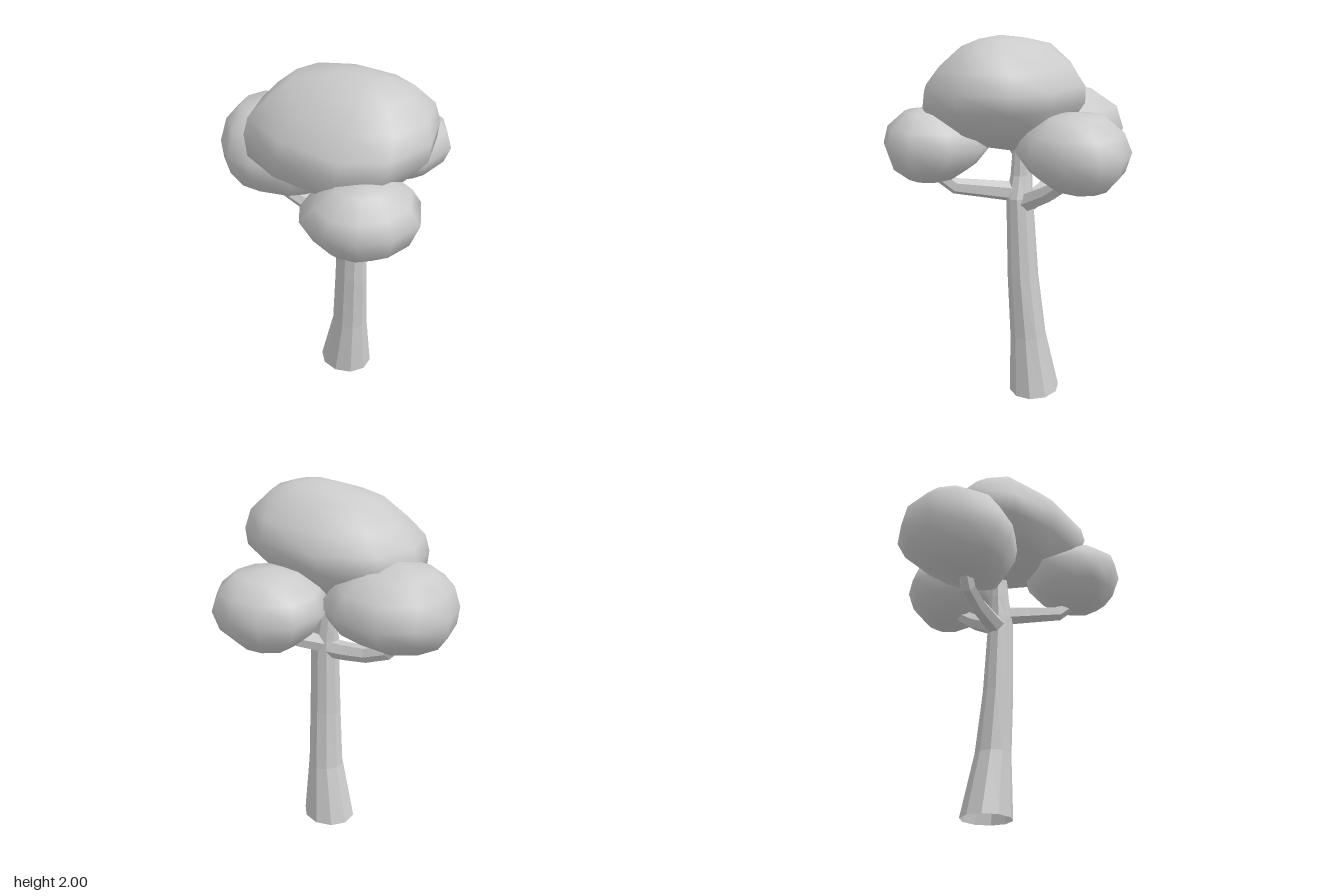
import * as THREE from 'three';

const smooth = new THREE.MeshStandardMaterial({ color: 0xcccccc });
const faceted = new THREE.MeshStandardMaterial({ color: 0xcccccc, flatShading: true, side: THREE.DoubleSide });

// Skin a unit outline through rings [y, xMin, xMax, zMin, zMax], listed top to bottom.
// Optional poles [x, y, z] close the two ends.
function loft(outline, rings, top, bottom) {
  const n = outline.length, pos = [], index = [];
  for (const [y, x0, x1, z0, z1] of rings) {
    for (const [u, v] of outline) {
      pos.push((x0 + x1) / 2 + u * (x1 - x0) / 2, y, (z0 + z1) / 2 + v * (z1 - z0) / 2);
    }
  }
  const last = (rings.length - 1) * n;
  const topId = rings.length * n, bottomId = topId + 1;
  if (top) pos.push(...top, ...bottom);
  for (let i = 0; i < n; i++) {
    const j = (i + 1) % n;
    for (let r = 0; r < last; r += n) {
      index.push(r + i, r + j, r + n + i, r + j, r + n + j, r + n + i);
    }
    if (top) index.push(topId, j, i, bottomId, last + i, last + j);
  }
  const g = new THREE.BufferGeometry();
  g.setAttribute('position', new THREE.Float32BufferAttribute(pos, 3));
  g.setIndex(index);
  g.computeVertexNormals();
  return g;
}

// Tapered six-sided branch along a curve
function branchGeometry(points, r0, r1) {
  const curve = new THREE.CatmullRomCurve3(points.map(p => new THREE.Vector3(...p)));
  const segs = 4, sides = 6;
  const g = new THREE.TubeGeometry(curve, segs, 1, sides);
  const p = g.attributes.position, v = new THREE.Vector3();
  for (let i = 0; i < p.count; i++) {
    const t = Math.floor(i / (sides + 1)) / segs;
    const c = curve.getPointAt(t);
    v.fromBufferAttribute(p, i).sub(c).multiplyScalar(r0 + (r1 - r0) * t).add(c);
    p.setXYZ(i, v.x, v.y, v.z);
  }
  return g;
}

// Foliage clumps: plan outline, side rings and end poles
const clumps = {
  crownFoliage: {
    outline: [[-1, -.06], [-.82, -.65], [-.27, -1], [.47, -.92], [.88, -.6], [1, .06], [.8, .7], [.39, 1], [-.35, .87], [-.88, .53]],
    rings: [
      [1.98, .04, .34, -.05, .15], [1.94, -.17, .45, -.15, .25], [1.84, -.29, .55, -.26, .36],
      [1.74, -.38, .58, -.315, .45], [1.65, -.4, .575, -.31, .47], [1.53, -.38, .47, -.22, .44],
      [1.45, -.28, .33, -.14, .29],
    ],
    top: [.21, 2, .05], bottom: [.06, 1.38, .02],
  },
  rightFoliage: {
    outline: [[-1, -.05], [-.78, -.64], [-.33, -1], [.39, -.91], [.83, -.55], [1, .2], [.55, .8], [-.08, 1], [-.5, .97], [-.89, .55]],
    rings: [
      [1.66, -.55, -.15, -.22, .09], [1.58, -.63, -.03, -.35, .2], [1.46, -.655, .05, -.395, .265],
      [1.36, -.64, .02, -.34, .25], [1.26, -.57, -.05, -.2, .19], [1.21, -.46, -.14, -.09, .11],
    ],
    top: [-.36, 1.7, -.06], bottom: [-.3, 1.2, .01],
  },
  leftFoliage: {
    outline: [[-1, -.24], [-.5, -.86], [.15, -1], [.73, -.72], [1, -.07], [.8, .52], [.36, .9], [-.22, 1], [-.73, .76], [-.95, .35]],
    rings: [
      [1.62, .25, .51, .26, .51], [1.54, .15, .6, .12, .61], [1.45, .06, .65, .06, .64],
      [1.34, .13, .61, .15, .59], [1.27, .21, .5, .26, .52],
    ],
    top: [.4, 1.64, .41], bottom: [.35, 1.23, .4],
  },
  backFoliage: {
    outline: [[-1, .1], [-.9, -.55], [-.41, -.93], [.17, -1], [.72, -.79], [1, -.28], [.83, .5], [.35, .95], [-.3, 1], [-.8, .65]],
    rings: [
      [1.62, .06, .38, -.51, -.23], [1.54, -.04, .47, -.6, -.12], [1.44, -.08, .5, -.64, -.06],
      [1.34, -.03, .46, -.61, -.14], [1.26, .06, .36, -.54, -.25],
    ],
    top: [.22, 1.64, -.36], bottom: [.2, 1.22, -.43],
  },
};

const branches = {
  rightBranch: [[.12, 1.09, -.02], [-.14, 1.115, -.02], [-.28, 1.165, -.02], [-.36, 1.28, -.01]],
  leftBranch: [[.11, 1.17, -.02], [.22, 1.2, .13], [.34, 1.235, .29], [.38, 1.3, .34]],
  backBranch: [[.12, 1.1, 0], [.16, 1.17, -.14], [.19, 1.23, -.25], [.2, 1.34, -.37]],
};

export function createModel() {
  const tree = new THREE.Group();
  tree.name = 'tree';
  const add = (name, geometry, material) => {
    const mesh = new THREE.Mesh(geometry, material);
    mesh.name = name;
    tree.add(mesh);
  };

  // Leaning, flared trunk, open at the base
  const circle = Array.from({ length: 10 }, (_, i) => {
    const a = (i + .5) / 10 * Math.PI * 2;
    return [Math.cos(a), Math.sin(a)];
  });
  add('trunk', loft(circle, [
    [1.5, .06, .14, -.055, .03], [1.27, .045, .165, -.07, .045], [1.15, .042, .205, -.08, .058],
    [.7, .025, .208, -.11, .057], [.35, 0, .204, -.15, .05], [0, -.087, .222, -.21, .065],
  ]), faceted);

  for (const [name, points] of Object.entries(branches)) {
    add(name, branchGeometry(points, .056, .038), faceted);
  }
  for (const [name, c] of Object.entries(clumps)) {
    add(name, loft(c.outline, c.rings, c.top, c.bottom), smooth);
  }
  return tree;
}
